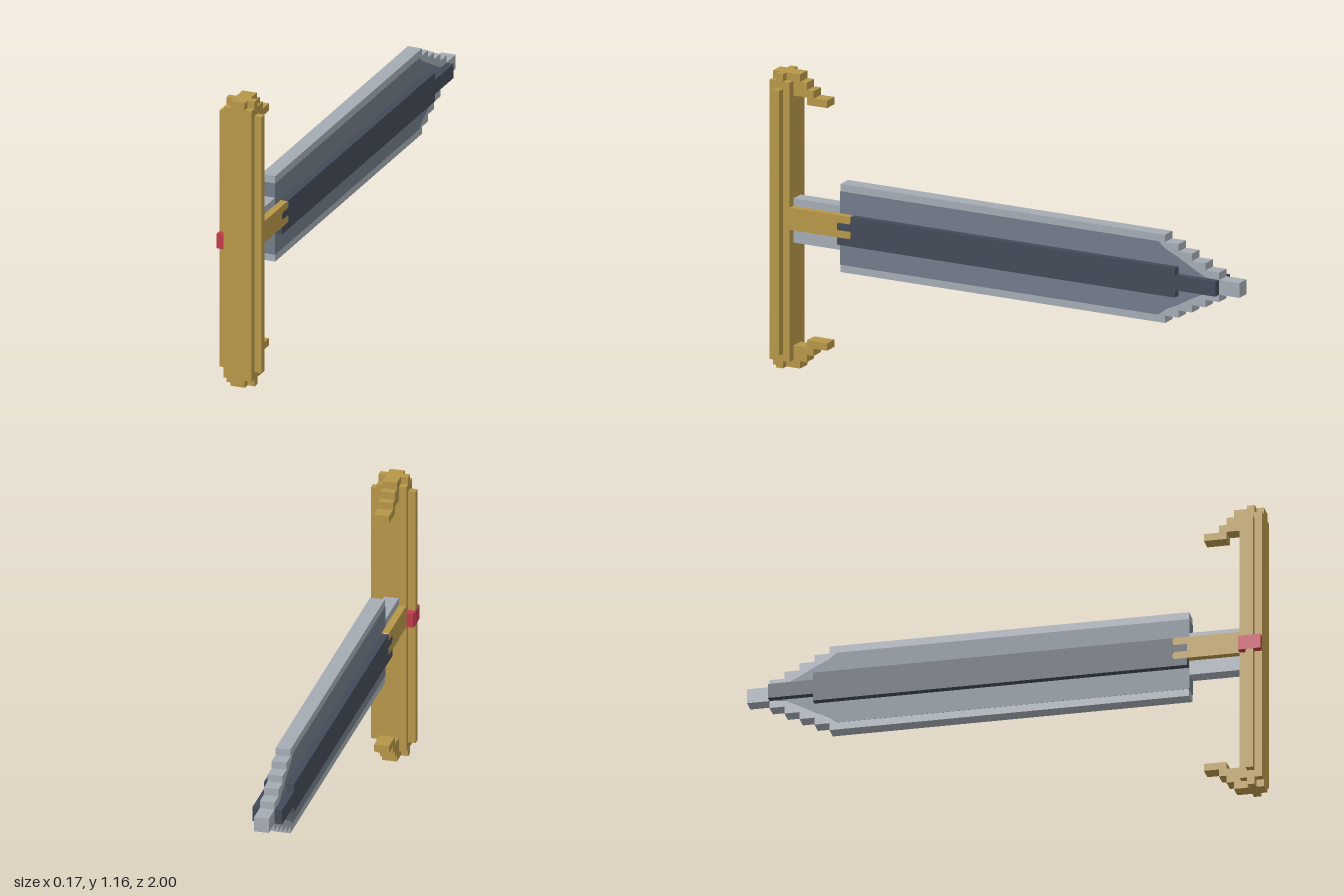
import * as THREE from 'three';

const U = 0.029; // block size
const MID = 0.58; // height of the blade axis

const mat = (name, color) => {
  const m = new THREE.MeshStandardMaterial({ color });
  m.name = name;
  return m;
};

export function createModel() {
  const group = new THREE.Group();
  const gold = mat('gold', 0xb59548);
  const steel = mat('lightSteel', 0xa4abb3);
  const slate = mat('slate', 0x707b88);
  const dark = mat('darkSteel', 0x424a58);
  const red = mat('red', 0xc03a4c);

  const add = (name, geometry, material) => {
    const mesh = new THREE.Mesh(geometry, material);
    mesh.name = name;
    group.add(mesh);
    return mesh;
  };

  // box given by its ranges on each axis
  const box = (name, material, [x0, x1], [y0, y1], [z0, z1]) => {
    const g = new THREE.BoxGeometry(x1 - x0, y1 - y0, z1 - z0);
    g.translate((x0 + x1) / 2, (y0 + y1) / 2, (z0 + z1) / 2);
    return add(name, g, material);
  };

  // side profile of [z, y] points, thickened between x0 and x1
  const slab = (name, material, points, x0, x1) => {
    const shape = new THREE.Shape(points.map(([z, y]) => new THREE.Vector2(-z, y)));
    const g = new THREE.ExtrudeGeometry(shape, { depth: x1 - x0, bevelEnabled: false });
    g.rotateY(Math.PI / 2).translate(x0, 0, 0);
    return add(name, g, material);
  };

  // closes an upper outline of [z, half height] with its mirror image
  const symmetric = (half) => [
    ...half.map(([z, h]) => [z, MID + h]),
    ...half.slice().reverse().map(([z, h]) => [z, MID - h]),
  ];

  // crossguard: body, stepped ends and side ridges
  box('guardBody', gold, [-2 * U, 2 * U], [U, 39 * U], [0.913, 1]);
  for (const y of [0, 39 * U]) {
    box('guardEnd', gold, [-U, U], [y, y + U], [0.913, 1]);
    box('guardEndWide', gold, [-2 * U, 2 * U], [y, y + U], [0.942, 0.971]);
  }
  for (const s of [-1, 1]) {
    const x = s * 2.5 * U;
    box('guardRidge', gold, [x - U / 2, x + U / 2], [2 * U, 38 * U], [0.942, 0.971]);
  }

  // hooks curling towards the blade at both ends of the guard
  const hook = [
    [0.913, 1.16], [0.884, 1.16], [0.884, 1.131], [0.855, 1.131], [0.855, 1.102],
    [0.826, 1.102], [0.826, 1.073], [0.768, 1.073], [0.768, 1.044], [0.855, 1.044],
    [0.855, 1.073], [0.913, 1.073],
  ];
  slab('upperHook', gold, hook, -U, U);
  slab('lowerHook', gold, hook.map(([z, y]) => [z, 1.16 - y]), -U, U);

  // red gem around the ridge on the right side
  for (const z of [0.913, 0.971]) {
    box('gem', red, [-3 * U, -2 * U], [MID - U, MID + U], [z, z + U]);
  }
  box('gemBand', red, [-3 * U - 0.001, -3 * U + 0.001], [MID - U, MID + U], [0.942, 0.971]);

  // blade neck and stepped cutting edge
  box('bladeNeck', steel, [-U, U], [MID - 3 * U, MID + 3 * U], [0.71, 0.913]);
  const outline = [[0.71, 6 * U]];
  for (let i = 0; i < 5; i++) {
    const z = -0.681 - i * 2 * U;
    outline.push([z, (6 - i) * U], [z, (i === 4 ? 1 : 5 - i) * U]);
  }
  outline.push([-1, U]);
  slab('bladeEdge', steel, symmetric(outline), -U, U);

  // slate flat of the blade, tapering to the tip
  const flat = [
    [0.712, 5 * U], [-0.652, 5 * U], [-0.685, 4.1 * U], [-0.74, 3.2 * U],
    [-0.797, 2.1 * U], [-0.855, 1.1 * U], [-0.912, 0.9 * U],
  ];
  slab('bladeFlat', slate, symmetric(flat), -U - 0.001, U + 0.001);

  // raised dark rib and forked gold collar on each side
  const rib = [[0.652, 2 * U], [-0.739, 2 * U], [-0.739, U], [-0.913, U]];
  const top = MID + 2 * U;
  const collar = [
    [0.913, top], [0.658, top], [0.652, top - 0.007], [0.652, top - 0.022],
    [0.658, top - U], [0.7, top - U], [0.71, top - U - 0.007], [0.71, top - U - 0.022],
    [0.7, MID], [0.658, MID], [0.652, MID - 0.007], [0.652, MID - 0.022],
    [0.658, MID - U], [0.913, MID - U],
  ];
  for (const [a, b] of [[-2 * U, -U], [U, 2 * U]]) {
    slab('bladeRib', dark, symmetric(rib), a, b);
    box('ribNotch', dark, [a, b], [MID, MID + U], [0.652, 0.71]);
    box('ribFoot', dark, [a, b], [MID - 2 * U, MID - U], [0.652, 0.71]);
    slab('collar', gold, collar, a, b);
  }

  return group;
}
